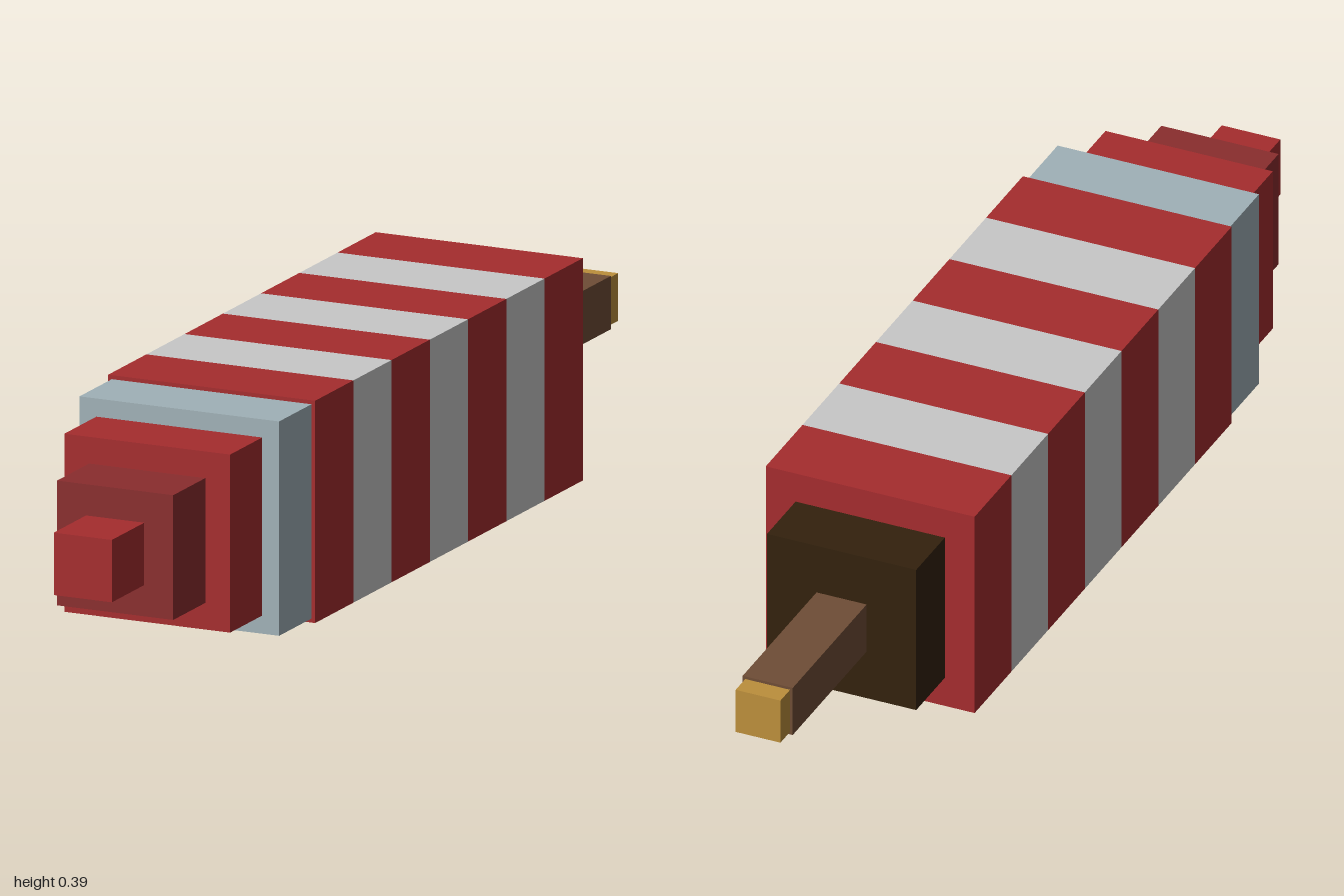
import * as THREE from 'three';

const CENTER_Y = 0.196;

function material(name, color) {
  const m = new THREE.MeshStandardMaterial({ color });
  m.name = name;
  return m;
}

export function createModel() {
  const red = material('red', 0xa52c2e);
  const darkRed = material('dark red', 0x8a2d2e);
  const white = material('off white', 0xc8c8c8);
  const steel = material('pale steel', 0xa0b1b7);
  const darkWood = material('dark wood', 0x33210d);
  const wood = material('wood', 0x6f4d36);
  const gold = material('gold', 0xbc8f3c);

  const model = new THREE.Group();
  model.name = 'stripedRocket';

  // Square block centred on the long axis, running from zBack to zFront
  function block(name, half, zBack, zFront, mat, segments = 1) {
    const geometry = new THREE.BoxGeometry(2 * half, 2 * half, zFront - zBack, 1, 1, segments);
    const mesh = new THREE.Mesh(geometry, mat);
    mesh.name = name;
    mesh.position.set(0, CENTER_Y, (zBack + zFront) / 2);
    model.add(mesh);
    return mesh;
  }

  // Striped body: seven bands on each long side, red at both ends
  const bands = 7;
  const body = block('stripedBody', 0.196, -0.545, 0.498, [red, white], bands).geometry;
  body.clearGroups();
  for (let side = 0; side < 4; side++) {
    for (let i = 0; i < bands; i++) body.addGroup((side * bands + i) * 6, 6, i % 2);
  }
  body.addGroup(4 * bands * 6, 12, 0);

  // Stepped nose
  block('collar', 0.189, 0.498, 0.624, steel);
  block('noseBase', 0.157, 0.624, 0.749, red);
  block('noseMiddle', 0.11, 0.749, 0.874, darkRed);
  block('noseTip', 0.055, 0.874, 1, red);

  // Tail plug, fuse stick and its tip
  block('tailPlug', 0.14, -0.661, -0.545, darkWood);
  block('fuseStick', 0.047, -0.961, -0.661, wood);
  block('fuseTip', 0.042, -1, -0.961, gold);

  return model;
}
